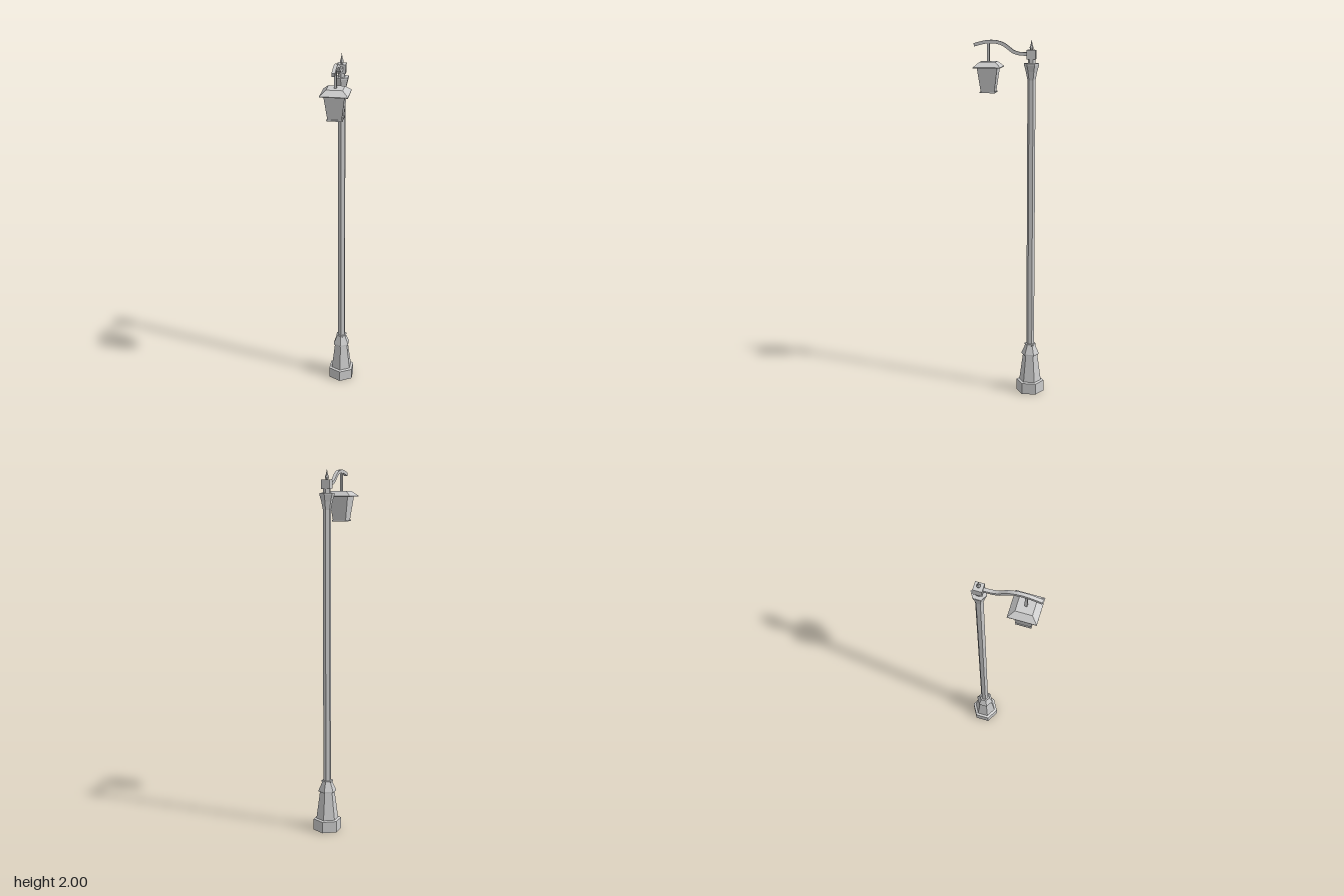
import * as THREE from 'three';

const material = new THREE.MeshStandardMaterial({ color: 0xcccccc, flatShading: true });
const POST_Z = -0.117, LAMP_Z = 0.117;

export function createModel() {
  const model = new THREE.Group();

  const add = (name, geometry, parent = model) => {
    const mesh = new THREE.Mesh(geometry, material);
    mesh.name = name;
    parent.add(mesh);
    return mesh;
  };
  const profile = (points, scale = 1) => points.map(([r, y]) => new THREE.Vector2(r * scale, y));
  // Faceted solids of [radius, height] points: hexagonal (corner radius) or square (half width)
  const hex = (points) => new THREE.LatheGeometry(profile(points), 6);
  const square = (points) => new THREE.LatheGeometry(profile(points, Math.SQRT2), 4, Math.PI / 4);

  // Post, standing at the back
  const post = new THREE.Group();
  post.name = 'post';
  post.position.z = POST_Z;
  model.add(post);
  add('base', hex([[0, 0], [0.078, 0], [0.078, 0.063], [0.062, 0.067], [0.041, 0.223], [0, 0.223]]), post);
  add('collar', hex([[0, 0.222], [0.049, 0.222], [0.049, 0.23], [0.029, 0.276], [0.032, 0.278],
    [0.032, 0.286], [0, 0.286]]), post);
  add('shaft', hex([[0, 0.28], [0.022, 0.28], [0.022, 1.79], [0, 1.79]]), post);
  add('capital', hex([[0, 1.785], [0.022, 1.785], [0.031, 1.83], [0.041, 1.865], [0.041, 1.874], [0, 1.874]]), post);
  add('neck', hex([[0, 1.87], [0.02, 1.87], [0.02, 1.9], [0, 1.9]]), post);
  add('armBlock', new THREE.BoxGeometry(0.047, 0.049, 0.047), post).position.y = 1.92;
  add('finial', hex([[0, 1.94], [0.007, 1.944], [0.011, 1.958], [0.006, 1.97], [0, 2]]), post);

  // Curved arm: a band of even thickness along a [z, y] centre line
  const line = new THREE.CatmullRomCurve3([
    [-0.1, 1.923], [-0.05, 1.925], [-0.015, 1.937], [0.03, 1.971], [0.075, 1.986], [0.13, 1.986], [0.195, 1.97],
  ].map(([z, y]) => new THREE.Vector3(z, y, 0)));
  const upper = [], lower = [];
  for (let i = 0; i <= 12; i++) {
    const p = line.getPoint(i / 12), t = line.getTangent(i / 12);
    upper.push(new THREE.Vector2(p.x - t.y * 0.009, p.y + t.x * 0.009));
    lower.unshift(new THREE.Vector2(p.x + t.y * 0.009, p.y - t.x * 0.009));
  }
  const arm = new THREE.ExtrudeGeometry(new THREE.Shape([...upper, ...lower]), { depth: 0.018, bevelEnabled: false });
  arm.translate(0, 0, -0.009).rotateY(-Math.PI / 2);
  add('arm', arm);

  // Hanging lantern
  const lantern = new THREE.Group();
  lantern.name = 'lantern';
  lantern.position.z = LAMP_Z;
  model.add(lantern);
  add('hanger', new THREE.BoxGeometry(0.013, 0.11, 0.013), lantern).position.y = 1.93;
  add('roof', square([[0, 1.85], [0.074, 1.85], [0.074, 1.854], [0.043, 1.881], [0, 1.881]]), lantern);
  add('lampBody', square([[0, 1.72], [0.037, 1.72], [0.055, 1.852], [0, 1.852]]), lantern);
  add('bottomPlate', square([[0, 1.715], [0.042, 1.715], [0.042, 1.722], [0, 1.722]]), lantern);

  return model;
}
